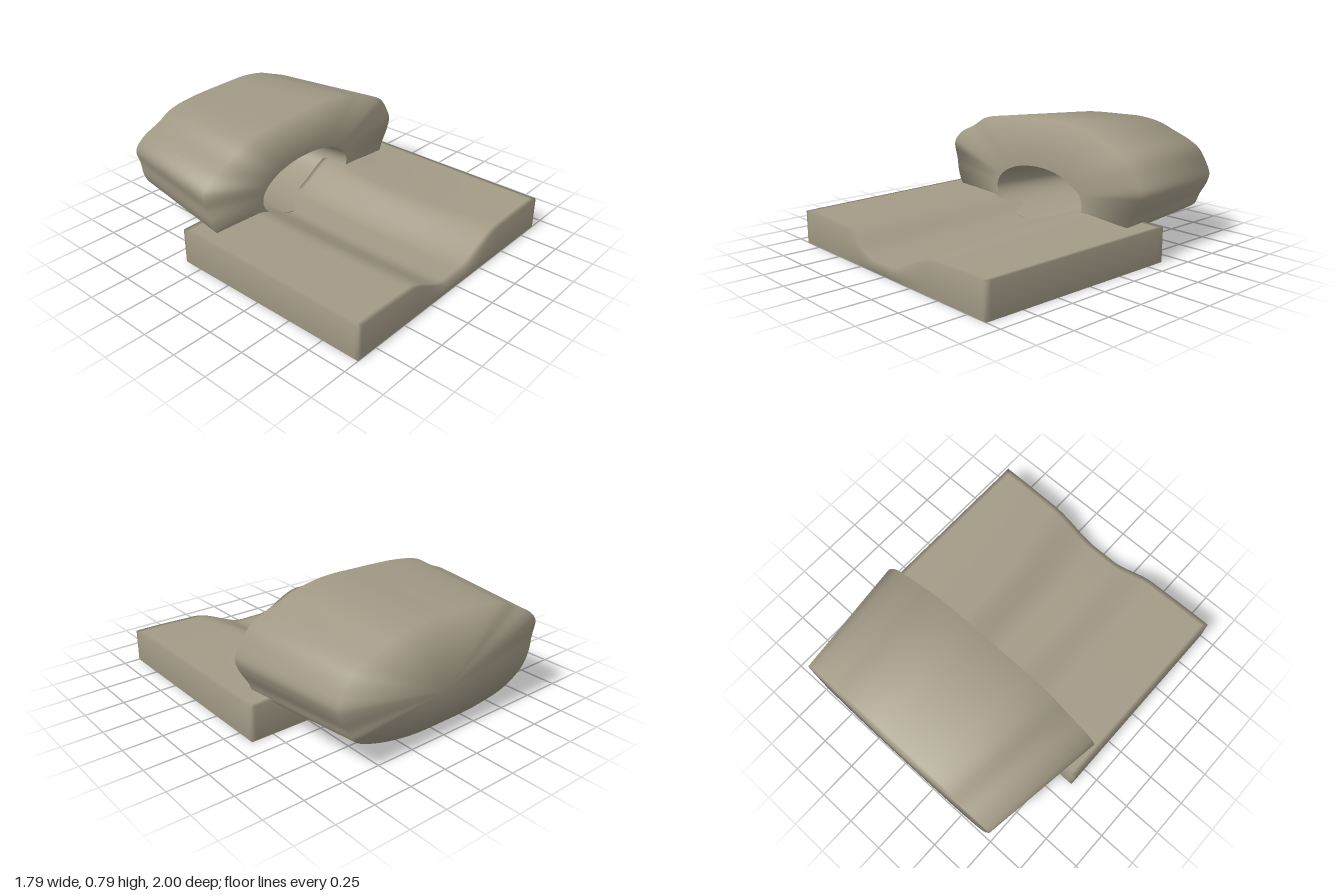
import * as THREE from 'three';
import { mergeVertices } from 'three/addons/utils/BufferGeometryUtils.js';

const material = new THREE.MeshStandardMaterial({ color: 0xa39b87 });

// Skin a series of closed rings (each counter-clockwise seen from +z).
function skin(rings) {
  const n = rings[0].length;
  const position = rings.flat().flatMap((p) => [p.x, p.y, p.z]);
  const index = [];
  for (let i = 0; i < rings.length - 1; i++) {
    for (let j = 0; j < n; j++) {
      const k = (j + 1) % n;
      const a = i * n + j, b = i * n + k, c = b + n, d = a + n;
      index.push(a, b, c, a, c, d);
    }
  }
  let geo = new THREE.BufferGeometry();
  geo.setAttribute('position', new THREE.Float32BufferAttribute(position, 3));
  geo.setIndex(index);
  geo = mergeVertices(geo, 1e-5);
  geo.computeVertexNormals();
  return geo;
}

// Height of the ground: gently rising banks beside a winding trench.
function groundHeight(x, z) {
  const { smoothstep, lerp } = THREE.MathUtils;
  const back = (1 - z) / 1.38;
  const ridge = Math.exp(-(((Math.abs(x) - 0.4) / 0.25) ** 2));
  const bank = 0.213 - 0.012 * ridge * (1 - back)
    + back * (x > 0 ? 0.005 + 0.03 * ridge : 0.02 - 0.015 * ridge);
  const floor = 0.075 + 0.025 * back;
  const bend = Math.sin(Math.PI * Math.min(1, back * 0.8));
  const leftWall = smoothstep(-x, 0.1 + 0.03 * bend, 0.44 + 0.02 * bend);
  const rightCentre = 0.26 - 0.08 * bend;
  const rightWall = smoothstep(x, rightCentre - 0.2 + 0.06 * bend, rightCentre + 0.2 - 0.04 * bend);
  return lerp(floor, bank, Math.max(leftWall, rightWall));
}

function createGround() {
  let geo = new THREE.BoxGeometry(1.79, 1, 1.38, 60, 1, 40);
  geo.translate(0, 0.5, 0.31);
  const p = geo.attributes.position;
  for (let i = 0; i < p.count; i++) {
    if (p.getY(i) > 0.5) p.setY(i, groundHeight(p.getX(i), p.getZ(i)));
  }
  geo.deleteAttribute('normal');
  geo.deleteAttribute('uv');
  geo = mergeVertices(geo, 1e-5);
  geo.computeVertexNormals();
  const mesh = new THREE.Mesh(geo, material);
  mesh.name = 'ground';
  return mesh;
}

function createRock() {
  const group = new THREE.Group();
  group.name = 'rock';

  // Uneven outline of the front edge, counter-clockwise from the right
  const outline = [
    [0.87, 0.44], [0.83, 0.53], [0.77, 0.61], [0.69, 0.66], [0.53, 0.72], [0.4, 0.765],
    [0.22, 0.79], [0, 0.787], [-0.35, 0.77], [-0.53, 0.735], [-0.65, 0.67], [-0.8, 0.6],
    [-0.87, 0.52], [-0.845, 0.41], [-0.825, 0.3], [-0.77, 0.21], [-0.6, 0.11], [-0.3, 0.06],
    [0, 0.052], [0.3, 0.06], [0.6, 0.12], [0.75, 0.19], [0.79, 0.27], [0.85, 0.37],
  ].map(([x, y]) => new THREE.Vector3(x, y, -0.2));
  const front = new THREE.CatmullRomCurve3(outline, true).getPoints(120).slice(0, -1);

  // Rings derived from the outline: tapered back, oval mouth and tunnel end
  const back = front.map((p) => new THREE.Vector3(p.x * 0.88 + 0.014, 0.41 + (p.y - 0.41) * 0.89, -1));
  const oval = (rx, ry, z) => front.map((p) => {
    const a = Math.atan2((p.y - 0.28) / 0.47, p.x / 0.87);
    return new THREE.Vector3(rx * Math.cos(a), 0.28 + ry * Math.sin(a), z);
  });
  const mouth = oval(0.4, 0.19, -0.2);
  const end = oval(0.33, 0.145, -0.8);

  const shell = new THREE.Mesh(skin([oval(0, 0, -1), back, front, mouth]), material);
  shell.name = 'rockShell';
  const wall = new THREE.Mesh(skin([mouth, end]), material);
  wall.name = 'tunnelWall';
  const cap = new THREE.Mesh(skin([end, oval(0, 0, -0.8)]), material);
  cap.name = 'tunnelEnd';
  group.add(shell, wall, cap);
  return group;
}

export function createModel() {
  const model = new THREE.Group();
  model.name = 'rockDen';
  model.add(createGround(), createRock());
  return model;
}
